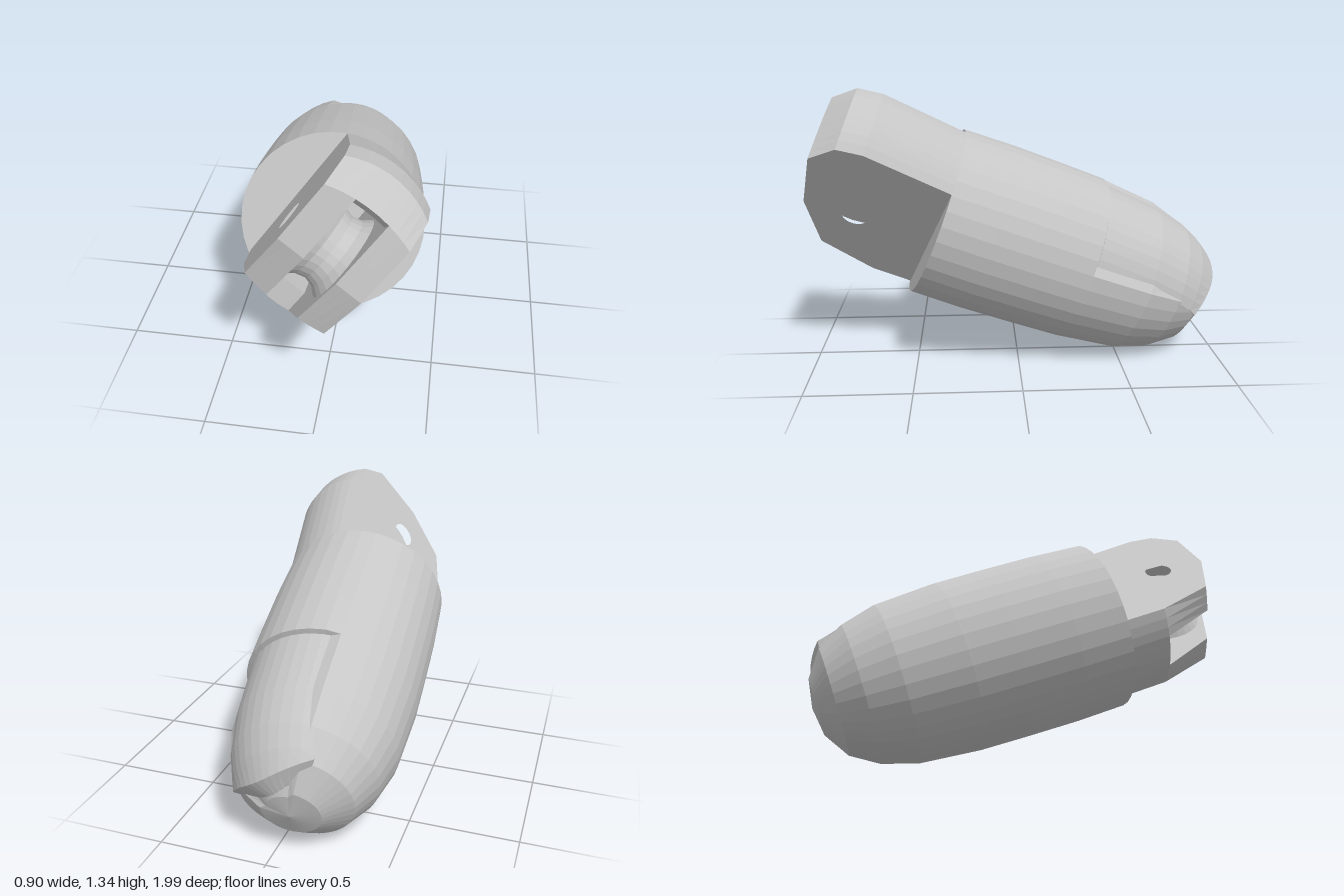
import * as THREE from 'three';

const DEG = Math.PI / 180;
const HALF = 0.205;  // half width of the hinge tongue
const SLOT = 0.08;   // half width of the hinge slot
const PIN = [0.02, 0.37];

// Facets a geometry with one normal per face
function faceted(geo) {
  const flat = geo.index ? geo.toNonIndexed() : geo;
  flat.computeVertexNormals();
  return flat;
}

// Surface through rows of points
function skin(rows) {
  const cols = rows[0].length, pos = [], idx = [];
  rows.forEach(r => r.forEach(p => pos.push(...p)));
  for (let i = 0; i < rows.length - 1; i++) {
    for (let j = 0; j < cols - 1; j++) {
      const a = i * cols + j, b = a + cols;
      idx.push(a, a + 1, b, a + 1, b + 1, b);
    }
  }
  const geo = new THREE.BufferGeometry();
  geo.setAttribute('position', new THREE.Float32BufferAttribute(pos, 3));
  geo.setIndex(idx);
  return faceted(geo);
}

const polar = (r, angle, z) => [r * Math.sin(angle), r * Math.cos(angle), z];

// Hinge plate: outline in (height, length), extruded across the width;
// its upper and lower edges follow the round of the finger
function plate(outline, x0, x1, hole) {
  const shape = new THREE.Shape(outline.map(p => new THREE.Vector2(...p)));
  if (hole) {
    const h = new THREE.Path();
    h.absarc(...PIN, 0.065, 0, Math.PI * 2, true);
    shape.holes.push(h);
  }
  const geo = new THREE.ExtrudeGeometry(shape, {
    depth: x1 - x0, steps: 3, bevelEnabled: false, curveSegments: 10,
  });
  const p = geo.attributes.position;
  for (let i = 0; i < p.count; i++) {
    const x = p.getZ(i) + x0, y = p.getX(i), z = p.getY(i);
    const bulge = Math.sqrt(0.416 ** 2 - x * x) - Math.sqrt(0.416 ** 2 - HALF ** 2);
    const k = THREE.MathUtils.clamp((Math.abs(y) - 0.2) / 0.14, 0, 1);
    p.setXYZ(i, x, y + Math.sign(y) * bulge * k, z);
  }
  return faceted(geo);
}

export function createModel() {
  const grey = new THREE.MeshStandardMaterial({ color: 0xc6c6c6 });
  grey.name = 'light grey';
  const finger = new THREE.Group();
  finger.name = 'fingertip';
  const add = (name, geo) => {
    const mesh = new THREE.Mesh(geo, grey);
    mesh.name = name;
    finger.add(mesh);
    return mesh;
  };

  // Round body with a sunken bed for the nail: [radius, z, bed scale]
  const profile = [
    [0, 0, 1], [0.418, 0, 1], [0.424, -0.25, 1], [0.421, -0.52, 1], [0.416, -0.742, 1],
    [0.416, -0.75, 0.92], [0.388, -1.05, 0.92], [0.336, -1.22, 0.9], [0.258, -1.345, 0.85],
    [0.135, -1.425, 0.8], [0, -1.445, 1],
  ];
  const sides = 36;
  add('fingerBody', skin(profile.map(([r, z, bed]) =>
    Array.from({ length: sides + 1 }, (_, j) => {
      const a = (j / sides * 360 - 180) * DEG;
      return polar(Math.abs(a) < 48 * DEG ? r * bed : r, a, z);
    }))));

  // Nail: curved shell with skirts down both sides and a closed tip
  // [radius, z, half angle, radius rise at corners, z setback at corners]
  const nailRows = [
    [0.36, -0.745, 46, 0, 0], [0.394, -0.75, 46, 0, 0], [0.367, -1.05, 48, 0, 0],
    [0.324, -1.22, 52, 0.01, 0], [0.275, -1.32, 56, 0.03, 0.02],
    [0.208, -1.415, 60, 0.085, 0.075], [0.06, -1.42, 60, 0, 0.03],
  ];
  add('nail', skin(nailRows.map(([r, z, half, rise, back]) => {
    const row = [];
    for (let j = 0; j <= 12; j++) {
      const s = (j - 6) / 6;
      row.push(polar(r + rise * s * s, s * half * DEG, z + back * s * s));
    }
    const skirt = s => polar((r + rise) * 0.85, s * (half + 1) * DEG, z + back);
    return [skirt(-1), ...row, skirt(1)];
  })));

  // Hinge prongs, one on each side of the slot
  const prong = [
    [-0.35, -0.03], [-0.34, 0.2], [-0.25, 0.48], [0, 0.61],
    [0.29, 0.64], [0.4, 0.54], [0.42, 0.42], [0.36, -0.03],
  ];
  add('leftHingeProng', plate(prong, SLOT, HALF, true));
  add('rightHingeProng', plate(prong, -HALF, -SLOT, true));

  // Bridge over the slot and lip under it
  add('hingeBridge', plate([
    [0.36, -0.03], [0.42, 0.42], [0.4, 0.54], [0.29, 0.64], [0.27, 0.6], [0.27, -0.03],
  ], -SLOT, SLOT));
  add('hingeLip', plate([
    [-0.35, -0.03], [-0.34, 0.2], [-0.25, 0.22], [-0.23, -0.03],
  ], -SLOT, SLOT));

  // Flared hollow boss around the pin hole
  const bossProfile = [
    [0.065, -SLOT], [0.2, -SLOT], [0.17, -0.045], [0.158, 0],
    [0.17, 0.045], [0.2, SLOT], [0.065, SLOT], [0.065, -SLOT],
  ].map(p => new THREE.Vector2(...p));
  const boss = add('hingeBoss', faceted(new THREE.LatheGeometry(bossProfile, 28)));
  boss.rotation.z = -Math.PI / 2;
  boss.position.set(0, ...PIN);

  // Tilt and roll the finger into its pose
  const along = new THREE.Vector3(0.066, 0.349, 0.935).normalize();
  const across = new THREE.Vector3(0.585, 0.739, -0.33).cross(along).normalize();
  const up = along.clone().cross(across);
  finger.quaternion.setFromRotationMatrix(new THREE.Matrix4().makeBasis(across, up, along));
  finger.position.set(0, 0.75, 0.395);

  const model = new THREE.Group();
  model.name = 'jointedFingertip';
  model.add(finger);
  return model;
}
